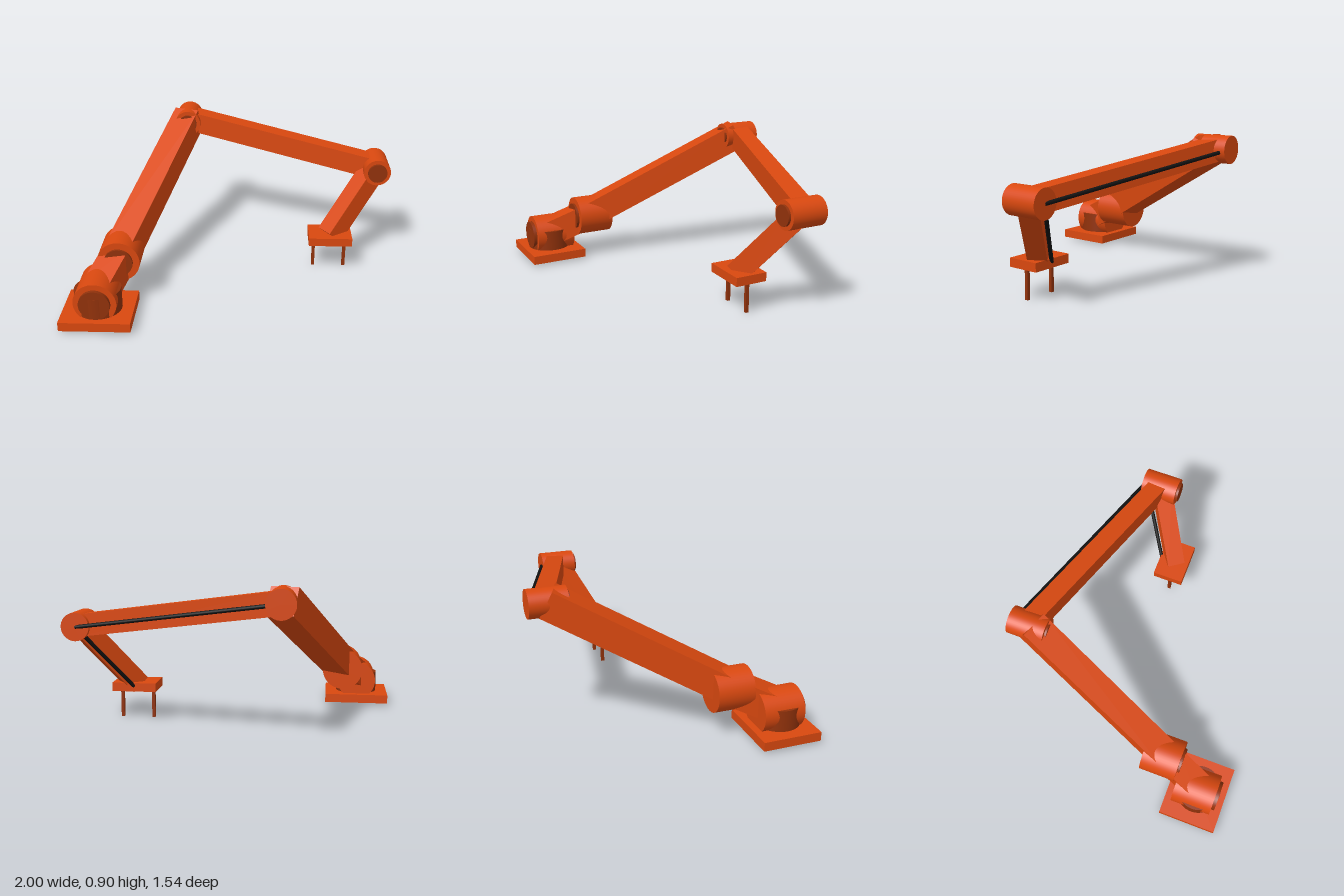
import * as THREE from 'three';

export function createModel() {
  const group = new THREE.Group();
  const orange = new THREE.MeshStandardMaterial({ name: 'orange paint', color: 0xd9480f });
  const rust = new THREE.MeshStandardMaterial({ name: 'dark rust', color: 0x92320b });
  const black = new THREE.MeshStandardMaterial({ name: 'black cable', color: 0x111111 });

  const V = (x, y, z) => new THREE.Vector3(x, y, z);
  const add = (name, geometry, material, x = 0, y = 0, z = 0) => {
    const mesh = new THREE.Mesh(geometry, material);
    mesh.name = name;
    mesh.position.set(x, y, z);
    group.add(mesh);
    return mesh;
  };
  const box = (name, w, h, d, x, y, z, m = orange) =>
    add(name, new THREE.BoxGeometry(w, h, d), m, x, y, z);

  // square beam between two points, its width axis kept level
  const link = (name, a, b, width, height) => {
    const dir = b.clone().sub(a);
    const geometry = new THREE.BoxGeometry(width, height, dir.length());
    dir.normalize();
    const side = V(0, 1, 0).cross(dir).normalize();
    const up = dir.clone().cross(side);
    geometry.applyMatrix4(new THREE.Matrix4().makeBasis(side, up, dir));
    const mid = a.clone().add(b).multiplyScalar(0.5);
    add(name, geometry, orange, mid.x, mid.y, mid.z);
  };

  // round joint lying along z, with a smaller cap on its front end
  const drum = (name, x, y, front, back, radius, material) => {
    const geometry = new THREE.CylinderGeometry(radius, radius, front - back, 48).rotateX(Math.PI / 2);
    add(name, geometry, material, x, y, (front + back) / 2);
  };
  const joint = (name, x, y, front, back, radius, capRadius, capDepth) => {
    drum(name, x, y, front, back, radius, orange);
    drum(name + 'Cap', x, y, front + capDepth, front - 0.02, capRadius, rust);
  };

  // base
  box('basePlate', 0.42, 0.056, 0.365, -0.79, 0.042, 0.588);
  add('baseColumn', new THREE.CylinderGeometry(0.138, 0.138, 0.14, 48), rust, -0.79, 0.133, 0.593);

  // joints
  joint('baseJoint', -0.79, 0.16, 0.705, 0.45, 0.127, 0.092, 0.022);
  joint('shoulderJoint', -0.69, 0.283, 0.432, 0.203, 0.128, 0.087, 0.015);
  joint('elbowJoint', -0.345, 0.815, -0.543, -0.772, 0.085, 0.06, 0.012);
  joint('wristJoint', 0.91, 0.623, -0.18, -0.408, 0.086, 0.061, 0.015);

  // arm segments
  const shoulder = V(-0.69, 0.285, 0.335);
  link('shoulderLink', V(-0.79, 0.16, 0.61), shoulder, 0.168, 0.17);
  link('upperArm', shoulder, V(-0.343, 0.822, -0.65), 0.168, 0.17);
  link('forearm', V(-0.345, 0.815, -0.665), V(0.908, 0.622, -0.3), 0.115, 0.135);
  link('handLink', V(0.908, 0.622, -0.295), V(0.614, 0.22, -0.085), 0.115, 0.13);

  // cables behind the forearm and hand
  const cable = (name, a, b) =>
    add(name, new THREE.TubeGeometry(new THREE.LineCurve3(a, b), 1, 0.012, 10), black);
  const cableTurn = V(0.908, 0.622, -0.4);
  cable('forearmCable', V(-0.345, 0.815, -0.757), cableTurn);
  cable('handCable', cableTurn, V(0.614, 0.22, -0.178));

  // gripper
  box('gripperPlate', 0.278, 0.054, 0.2, 0.614, 0.214, -0.085);
  for (const x of [0.511, 0.713]) box('gripperFinger', 0.02, 0.19, 0.02, x, 0.095, -0.08, rust);

  return group;
}
